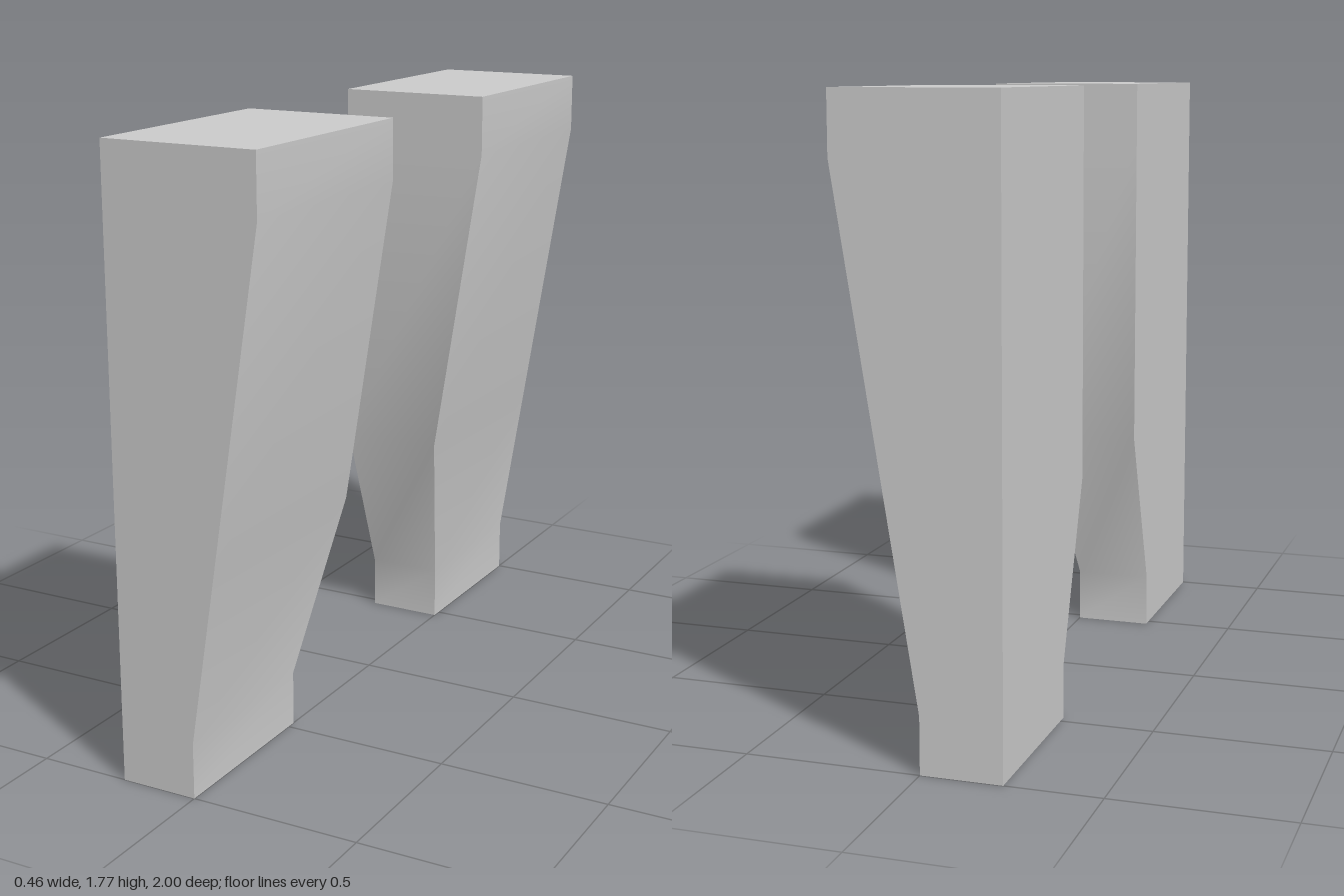
import * as THREE from 'three';
import { toCreasedNormals } from 'three/addons/utils/BufferGeometryUtils.js';

// Leg cross-sections from floor to top: height, tapered side x, inner face z
const LEVELS = [
  { y: 0, x: 0, z: 0.47 },
  { y: 0.16, x: 0, z: 0.47 },
  { y: 0.66, x: 0.08, z: 0.29 },
  { y: 1.6, x: 0.23, z: 0.29 },
  { y: 1.775, x: 0.23, z: 0.29 },
];
const FLAT_X = -0.23; // straight vertical side
const OUTER_Z = 1; // straight end face

// side = 1 for the front leg, -1 for its mirror image at the back
function createLeg(side) {
  const steps = LEVELS.length - 1;
  const box = new THREE.BoxGeometry(1, 1, 1, 1, steps, 1);
  const pos = box.attributes.position;
  for (let i = 0; i < pos.count; i++) {
    const level = LEVELS[Math.round((pos.getY(i) + 0.5) * steps)];
    const outer = pos.getZ(i) * side > 0;
    pos.setXYZ(i, pos.getX(i) > 0 ? level.x : FLAT_X, level.y, side * (outer ? OUTER_Z : level.z));
  }
  // Soft bends along the taper, sharp box corners
  return toCreasedNormals(box, THREE.MathUtils.degToRad(35));
}

export function createModel() {
  const model = new THREE.Group();
  model.name = 'legPair';
  const material = new THREE.MeshStandardMaterial({ color: 0xcccccc });
  for (const [name, side] of [['frontLeg', 1], ['backLeg', -1]]) {
    const leg = new THREE.Mesh(createLeg(side), material);
    leg.name = name;
    model.add(leg);
  }
  return model;
}
